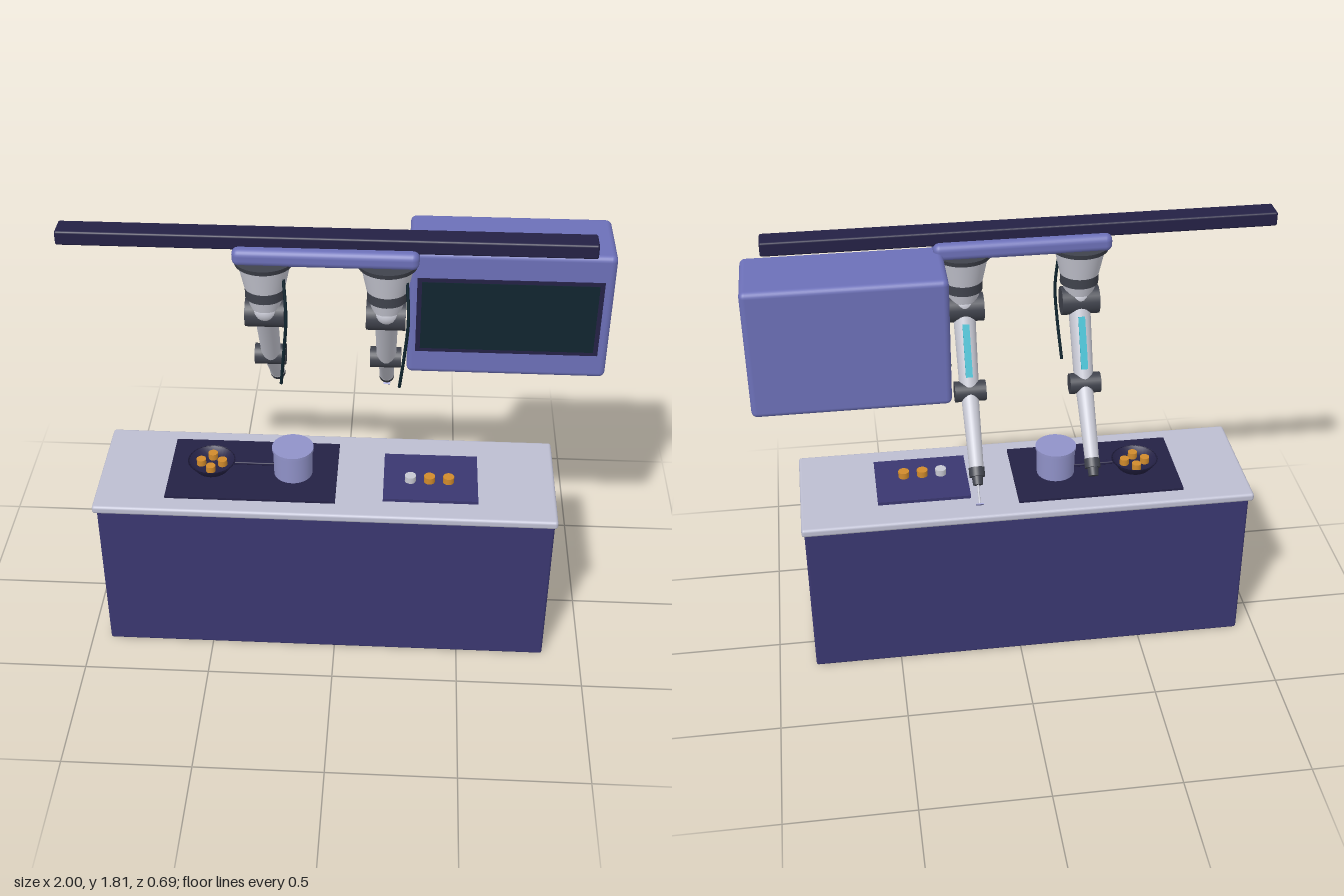
import * as THREE from 'three';
import { RoundedBoxGeometry } from 'three/addons/geometries/RoundedBoxGeometry.js';

const mat = (name, color) => {
  const m = new THREE.MeshStandardMaterial({ color });
  m.name = name;
  return m;
};

export function createModel() {
  const indigo = mat('indigo', 0x3a3770);
  const lavender = mat('lavender', 0x6c70b8);
  const navy = mat('navy', 0x242145);
  const stone = mat('pale stone', 0xbcbdd0);
  const shell = mat('light grey', 0xc6c7d2);
  const charcoal = mat('charcoal', 0x3f424c);
  const glass = mat('dark glass', 0x10252f);
  const cyan = mat('cyan', 0x2ab5c8);
  const steel = mat('pale lavender', 0x9092c8);
  const orange = mat('orange', 0xd08a2c);

  const model = new THREE.Group();
  model.name = 'robotKitchen';
  const V = (x, y, z) => new THREE.Vector3(x, y, z);

  const add = (parent, name, geo, material, x = 0, y = 0, z = 0) => {
    const mesh = new THREE.Mesh(geo, material);
    mesh.name = name;
    mesh.position.set(x, y, z);
    parent.add(mesh);
    return mesh;
  };
  // Box given by its limits on each axis, rounded when r > 0
  const box = (parent, name, material, [x0, x1], [y0, y1], [z0, z1], r = 0) => {
    const s = [x1 - x0, y1 - y0, z1 - z0];
    const geo = r ? new RoundedBoxGeometry(...s, 3, r) : new THREE.BoxGeometry(...s);
    return add(parent, name, geo, material, (x0 + x1) / 2, (y0 + y1) / 2, (z0 + z1) / 2);
  };
  // Cylinder or cone running from a to b
  const rod = (parent, name, material, a, b, ra, rb = ra, sides = 28) => {
    const dir = b.clone().sub(a);
    const geo = new THREE.CylinderGeometry(rb, ra, dir.length(), sides);
    const mid = a.clone().add(b).multiplyScalar(0.5);
    const mesh = add(parent, name, geo, material, mid.x, mid.y, mid.z);
    mesh.quaternion.setFromUnitVectors(V(0, 1, 0), dir.normalize());
    return mesh;
  };

  // Counter
  box(model, 'counterBody', indigo, [-0.925, 0.85], [0, 0.675], [-0.153, 0.327], 0.01);
  box(model, 'worktop', stone, [-0.94, 0.86], [0.672, 0.707], [-0.175, 0.342], 0.012);
  box(model, 'cooktop', navy, [-0.665, 0], [0.705, 0.716], [-0.105, 0.27]);
  box(model, 'cuttingBoard', indigo, [0.185, 0.555], [0.705, 0.72], [-0.045, 0.245]);

  // Food pieces
  const piece = (name, material, x, y, z, r) =>
    add(model, name, new THREE.CylinderGeometry(r, r, 0.026, 16), material, x, y, z);
  [0.29, 0.365, 0.44].forEach((x, i) => piece('boardPiece', i ? orange : shell, x, 0.733, 0.125, 0.022));

  // Pan with handle and four pieces
  const panProfile = [[0, 0.716], [0.065, 0.716], [0.095, 0.755], [0.088, 0.755], [0.062, 0.728], [0, 0.728]];
  add(model, 'pan', new THREE.LatheGeometry(panProfile.map(p => new THREE.Vector2(...p)), 32), navy, -0.5, 0, 0.077);
  box(model, 'panHandle', navy, [-0.415, -0.24], [0.74, 0.752], [0.067, 0.087], 0.004);
  for (let i = 0; i < 4; i++) {
    const a = i * Math.PI / 2;
    piece('panPiece', orange, -0.5 + 0.042 * Math.cos(a), 0.745, 0.077 + 0.042 * Math.sin(a), 0.019);
  }

  // Pot with lid
  rod(model, 'pot', steel, V(-0.175, 0.716, 0.087), V(-0.175, 0.83, 0.087), 0.076, 0.078, 36);
  rod(model, 'potLid', steel, V(-0.175, 0.828, 0.087), V(-0.175, 0.84, 0.087), 0.082, 0.082, 36);

  // Overhead rail and carriage
  box(model, 'rail', navy, [-1, 0.92], [1.757, 1.812], [0.076, 0.164], 0.008);
  box(model, 'carriage', lavender, [-0.37, 0.295], [1.706, 1.772], [0.043, 0.2], 0.025);

  // Wall oven with framed window
  box(model, 'ovenCabinet', lavender, [0.26, 0.997], [1.23, 1.742], [-0.175, 0.122], 0.022);
  box(model, 'windowFrame', navy, [0.29, 0.96], [1.33, 1.64], [0.118, 0.125]);
  box(model, 'window', glass, [0.307, 0.943], [1.345, 1.625], [0.119, 0.127]);

  // Hanging arms; x is measured from each arm's own axis
  const makeArm = (x, hasTool) => {
    const arm = new THREE.Group();
    arm.name = hasTool ? 'leftArm' : 'rightArm';
    arm.position.x = x;
    model.add(arm);
    const zb = 0.127;
    const column = (name, m, y0, y1, r0, r1) => rod(arm, name, m, V(0, y0, zb), V(0, y1, zb), r0, r1, 36);
    column('flange', charcoal, 1.695, 1.714, 0.108, 0.114);
    column('baseCone', shell, 1.595, 1.697, 0.075, 0.097);
    column('baseRing', charcoal, 1.555, 1.6, 0.073, 0.073);
    column('shoulderNeck', shell, 1.5, 1.557, 0.052, 0.066);

    // Shoulder
    const shoulder = V(0, 1.478, 0.12);
    rod(arm, 'shoulderJoint', charcoal, V(-0.074, 1.478, 0.12), V(0.07, 1.478, 0.12), 0.055);
    const cover = add(arm, 'shoulderCover', new THREE.SphereGeometry(0.056, 28, 18), shell, 0, 1.498, 0.126);
    cover.scale.set(1, 0.85, 1.03);

    // Upper arm with light strip on its back
    const elbow = V(0, 1.197, -0.03);
    rod(arm, 'upperArm', shell, shoulder, elbow, 0.043, 0.037);
    const along = elbow.clone().sub(shoulder).normalize();
    const back = V(0, -along.z, along.y);
    const strip = add(arm, 'lightStrip', new THREE.BoxGeometry(0.026, 0.2, 0.009), cyan);
    strip.position.copy(shoulder).lerp(elbow, 0.52).addScaledVector(back, 0.039);
    strip.quaternion.setFromUnitVectors(V(0, -1, 0), along);

    // Elbow and forearm
    rod(arm, 'elbowJoint', charcoal, V(-0.062, 1.197, -0.03), V(0.057, 1.197, -0.03), 0.04);
    const wrist = V(0, 0.975, -0.242);
    const out = wrist.clone().sub(elbow).normalize();
    const at = d => wrist.clone().addScaledVector(out, d);
    rod(arm, 'forearm', shell, elbow, wrist, 0.034, 0.027);
    rod(arm, 'wristRing', charcoal, at(-0.01), at(0.025), 0.03, 0.03);
    rod(arm, 'wristTip', charcoal, at(0.02), at(0.056), 0.021, 0.019);

    // Cable hanging in front
    const path = new THREE.CatmullRomCurve3([
      V(0.072, 1.65, 0.172), V(0.08, 1.5, 0.197), V(0.07, 1.36, 0.196), V(0.054, 1.195, 0.167)]);
    add(arm, 'cable', new THREE.TubeGeometry(path, 24, 0.006, 8), glass);

    // Small tool with a flat end plate
    if (hasTool) {
      rod(arm, 'toolShaft', shell, at(0.05), at(0.13), 0.004, 0.004, 12);
      const plate = add(arm, 'toolPlate', new THREE.BoxGeometry(0.028, 0.004, 0.03), steel);
      plate.position.copy(at(0.13));
      plate.quaternion.setFromUnitVectors(V(0, -1, 0), out);
    }
  };
  makeArm(-0.26, false);
  makeArm(0.182, true);

  return model;
}
